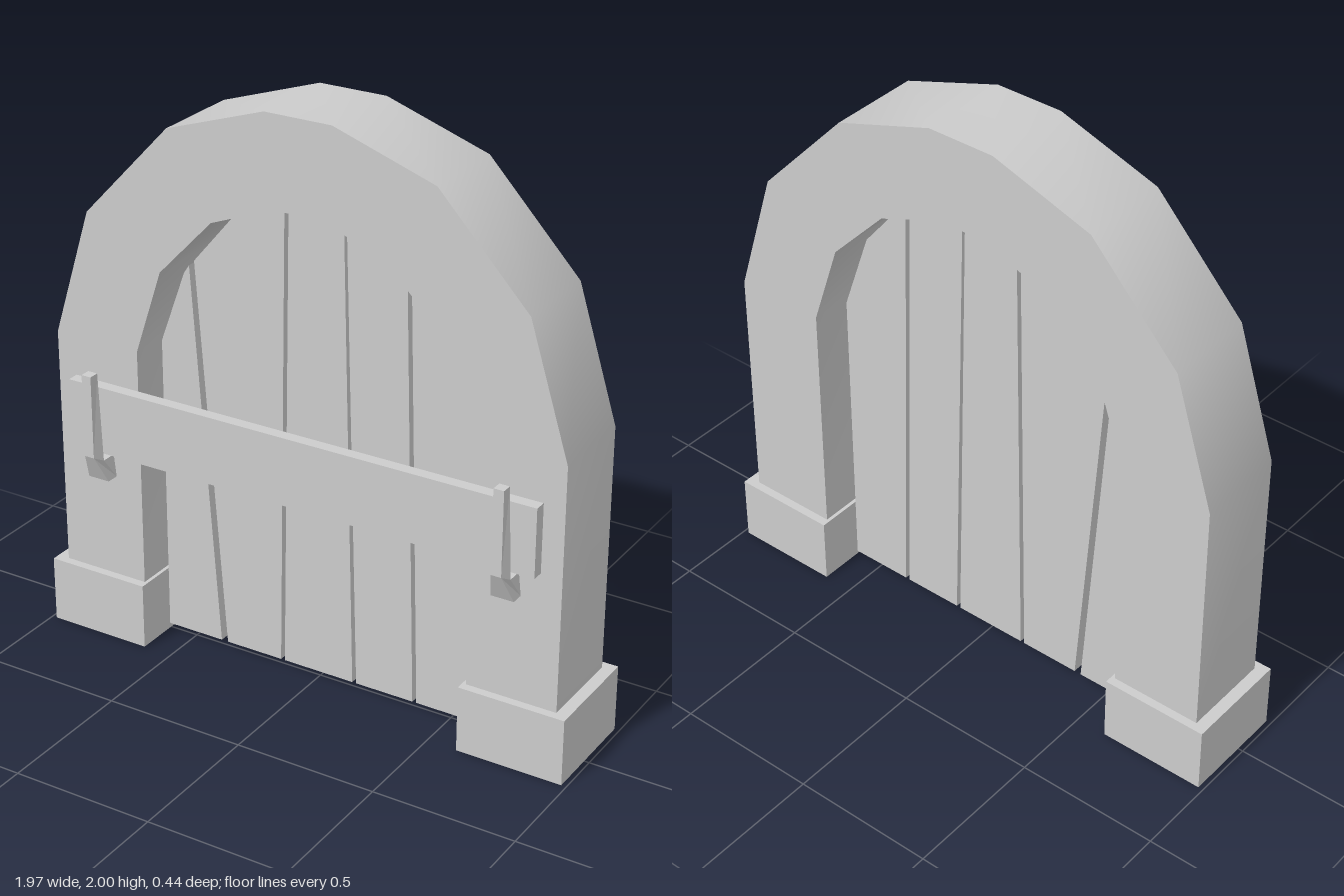
import * as THREE from 'three';
import { toCreasedNormals } from 'three/addons/utils/BufferGeometryUtils.js';

const material = new THREE.MeshStandardMaterial({ color: 0xcccccc });
const openMaterial = new THREE.MeshStandardMaterial({ color: 0xcccccc, side: THREE.DoubleSide });

const toShape = (points) => new THREE.Shape(points.map(([x, y]) => new THREE.Vector2(x, y)));

// Extrudes an outline between two depths
function slab(points, z0, z1) {
  const geometry = new THREE.ExtrudeGeometry(toShape(points), { depth: z1 - z0, bevelEnabled: false });
  return geometry.translate(0, 0, z0);
}

// Completes a right-hand profile with its mirror image
const mirrored = (half) => [...half, ...half.map(([x, y]) => [-x, y]).reverse()];

export function createModel() {
  const model = new THREE.Group();
  model.name = 'archedDoor';
  const add = (name, geometry, mat = material) => {
    const mesh = new THREE.Mesh(geometry, mat);
    mesh.name = name;
    model.add(mesh);
    return mesh;
  };

  // Stone arch: outer outline, then back along the inner one
  const outer = mirrored([[0.94, 0.22], [0.94, 1.09], [0.8, 1.54], [0.48, 1.88], [0.12, 2]]);
  const inner = mirrored([[0.62, 0.22], [0.62, 1.09], [0.52, 1.39], [0.32, 1.6], [0.09, 1.69]]);
  add('arch', toCreasedNormals(slab([...outer, ...inner.reverse()], -0.19, 0.13), 0.6));

  // Foot blocks, hollow and open underneath
  for (const side of [-1, 1]) {
    const block = new THREE.BoxGeometry(0.375, 0.235, 0.38);
    const index = Array.from(block.index.array);
    index.splice(18, 6); // drop the bottom face
    block.setIndex(index);
    block.translate(side * 0.795, 0.1175, -0.03);
    add(side < 0 ? 'rightFootBlock' : 'leftFootBlock', block, openMaterial);
  }

  // Uneven door planks
  const planks = [
    [[-0.605, 0.02], [-0.39, 0.02], [-0.49, 1.38], [-0.51, 1.35], [-0.605, 1.09]],
    [[-0.365, 0.02], [-0.15, 0.02], [-0.125, 1.665], [-0.31, 1.59], [-0.47, 1.4]],
    [[-0.135, 0.02], [0.13, 0.02], [0.09, 1.675], [-0.11, 1.67]],
    [[0.145, 0.02], [0.36, 0.02], [0.315, 1.59], [0.1, 1.675]],
    [[0.375, 0.02], [0.6, 0.02], [0.6, 1.09], [0.5, 1.38], [0.33, 1.59]],
  ];
  planks.forEach((points, i) => add(`plank${i + 1}`, slab(points, -0.065, 0.01)));

  // Crossbar
  add('crossbar', new THREE.BoxGeometry(1.735, 0.24, 0.042).translate(0, 0.83, 0.154));

  // Hooks holding the bar: side profile (z, y), flaring towards the foot
  const profile = [
    [0.13, 0.61], [0.175, 0.61], [0.222, 0.71], [0.222, 1.005],
    [0.185, 1.005], [0.185, 0.69], [0.13, 0.69],
  ];
  for (const side of [-1, 1]) {
    const hook = slab(profile, -0.5, 0.5).rotateY(-Math.PI / 2);
    const p = hook.attributes.position;
    for (let i = 0; i < p.count; i++) {
      const y = p.getY(i);
      const width = y > 0.7 ? 0.036 : y > 0.65 ? 0.062 : 0.08;
      p.setX(i, p.getX(i) * width);
    }
    hook.translate(side * 0.761, 0, 0);
    const flat = hook.index ? hook.toNonIndexed() : hook;
    flat.computeVertexNormals();
    add(side < 0 ? 'rightHook' : 'leftHook', flat);
  }

  return model;
}
